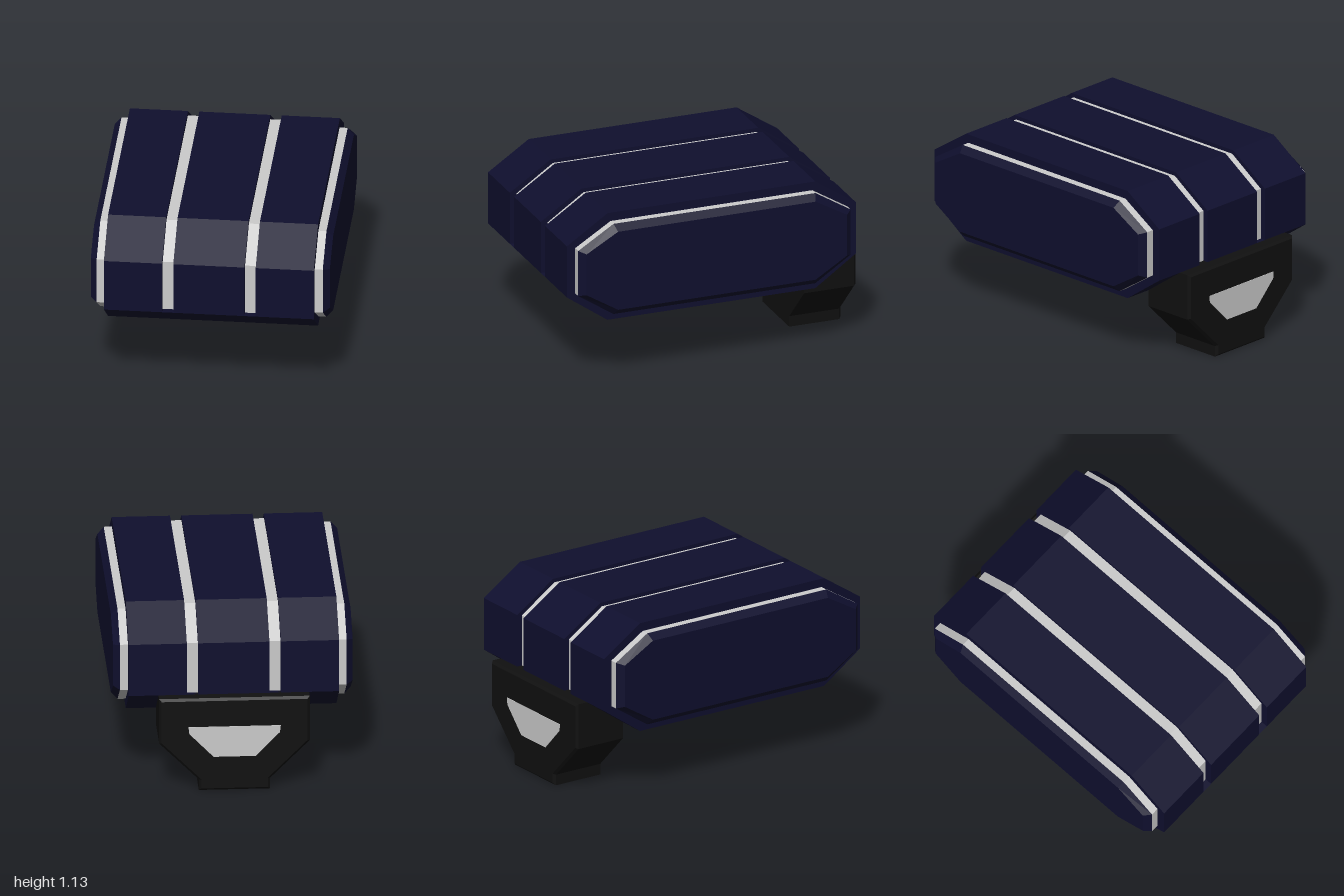
import * as THREE from 'three';

const navy = new THREE.MeshStandardMaterial({ color: 0x0f0f2e, flatShading: true });
const black = new THREE.MeshStandardMaterial({ color: 0x101010, flatShading: true });
const grey = new THREE.MeshStandardMaterial({ color: 0xcccccc, flatShading: true });

// Joins counter-clockwise outlines [points, depth] of equal length, ordered by rising depth, and caps both ends.
function loft(layers) {
  const pos = [];
  const put = (layer, i) => pos.push(...layer[0][i], layer[1]);
  const n = layers[0][0].length;
  for (let k = 0; k + 1 < layers.length; k++) {
    const a = layers[k], b = layers[k + 1];
    for (let i = 0; i < n; i++) {
      const j = (i + 1) % n;
      put(a, i); put(a, j); put(b, j);
      put(a, i); put(b, j); put(b, i);
    }
  }
  const first = layers[0], last = layers[layers.length - 1];
  const tris = (pts) => THREE.ShapeUtils.triangulateShape(pts.map(([x, y]) => new THREE.Vector2(x, y)), []);
  for (const [a, b, c] of tris(first[0])) { put(first, a); put(first, c); put(first, b); }
  for (const [a, b, c] of tris(last[0])) { put(last, a); put(last, b); put(last, c); }
  const geo = new THREE.BufferGeometry();
  geo.setAttribute('position', new THREE.Float32BufferAttribute(pos, 3));
  geo.computeVertexNormals();
  return geo;
}

// Eight-sided (z, y) side outline, shrunk by an inset.
function octagon(d) {
  const c = d * 0.36;
  return [
    [0.73 - c, 0.42 + d], [1 - d, 0.61 + c], [1 - d, 0.95 - c], [0.73 - c, 1.13 - d],
    [-0.65 + c, 1.13 - d], [-0.92 + d, 0.95 - c], [-0.92 + d, 0.61 + c], [-0.65 + c, 0.42 + d],
  ];
}

// Bracket outline (x, y), shrunk by an inset.
function bracketOutline(d) {
  const right = [[0.22 - d, d], [0.22 - d, 0.07 + d * 0.4], [0.465 - d, 0.315 + d * 0.4], [0.465 - d, 0.61 - d]];
  return [...right, ...right.map(([x, y]) => [-x, y]).reverse()];
}

export function createModel() {
  const model = new THREE.Group();
  const add = (name, geo, mat) => {
    const mesh = new THREE.Mesh(geo, mat);
    mesh.name = name;
    model.add(mesh);
    return mesh;
  };
  // Slab with a (z, y) outline running between two x positions.
  const slab = (name, pts, x0, x1, mat) =>
    add(name, loft([[pts, -x1], [pts, -x0]]).rotateY(-Math.PI / 2), mat);

  // Three shell panels
  const shell = octagon(0);
  for (const [x0, x1] of [[-0.65, -0.29], [-0.22, 0.22], [0.29, 0.65]]) slab('shellPanel', shell, x0, x1, navy);

  // Grooves between panels: pale strip above, closed shell below
  const strip = [[0.955, 0.6], [0.955, 0.94], [0.715, 1.105], [-0.64, 1.105], [-0.885, 0.94], [-0.885, 0.6]];
  const floor = [[0.73, 0.42], [1, 0.61], [-0.92, 0.61], [-0.65, 0.42]];
  for (const [x0, x1] of [[-0.29, -0.22], [0.22, 0.29]]) {
    slab('grooveStrip', strip, x0, x1, grey);
    slab('grooveFloor', floor, x0, x1, navy);
  }

  // Side bands and bevelled side caps
  const rim = octagon(0.055), face = octagon(0.095);
  for (const s of [-1, 1]) {
    slab('sideBand', rim, s > 0 ? 0.65 : -0.7, s > 0 ? 0.7 : -0.65, grey);
    const layers = s > 0 ? [[face, -0.74], [rim, -0.7]] : [[rim, 0.7], [face, 0.74]];
    add('sideCap', loft(layers).rotateY(-Math.PI / 2), navy);
  }

  // Rear bracket with a bevelled back edge
  const outer = bracketOutline(0);
  add('rearBracket', loft([[bracketOutline(0.015), -0.997], [outer, -0.982], [outer, -0.65]]), black);

  // Pale panel on the back of the bracket
  const half = [[0.13, 0.225], [0.28, 0.38], [0.285, 0.425]];
  const panel = [...half, ...half.map(([x, y]) => [-x, y]).reverse()];
  add('bracketPanel', loft([[panel, -1], [panel, -0.99]]), grey);

  return model;
}
